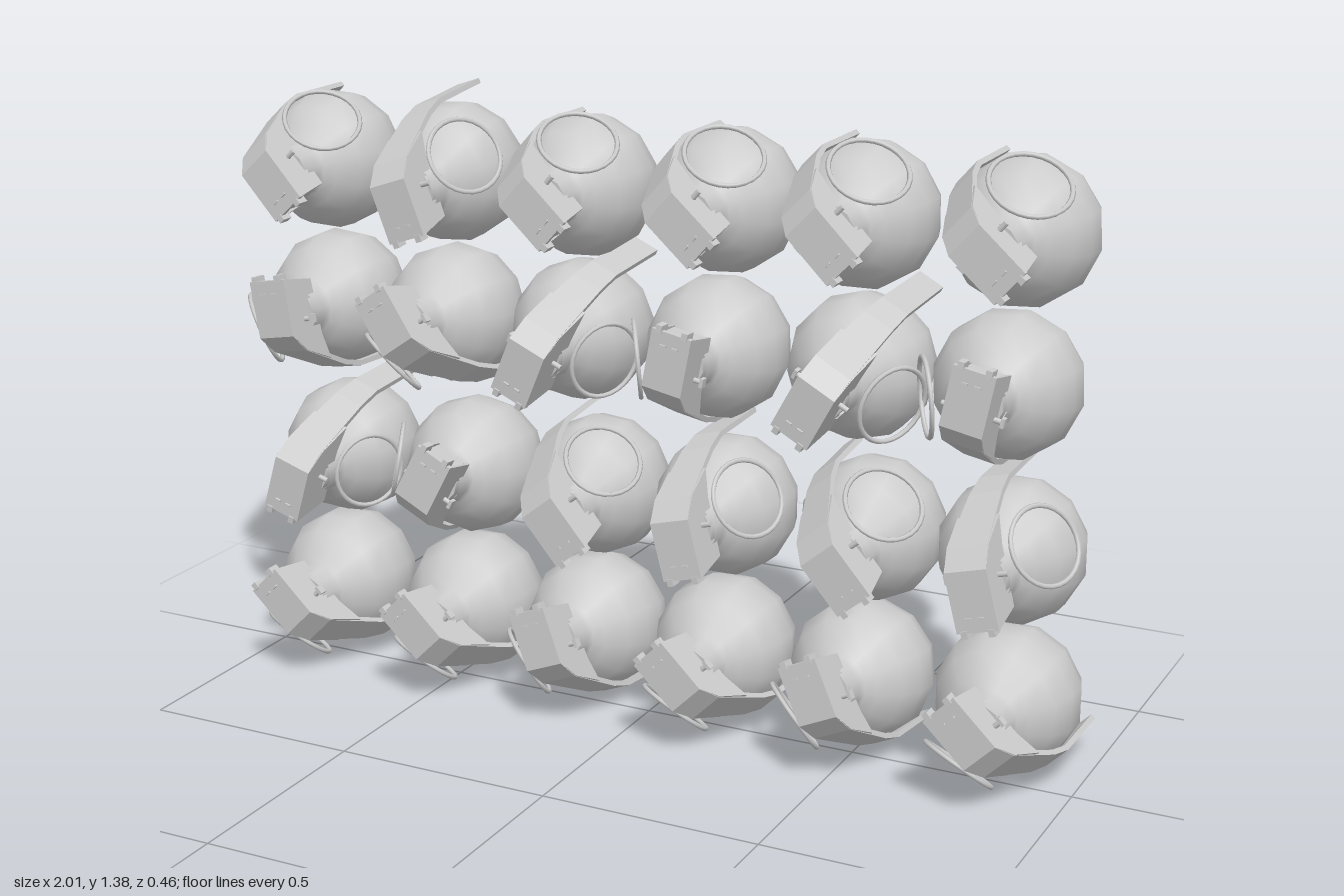
import * as THREE from 'three';

const mat = new THREE.MeshStandardMaterial({ color: 0xcccccc });
const matBoth = new THREE.MeshStandardMaterial({ color: 0xcccccc, side: THREE.DoubleSide });
const matFlat = new THREE.MeshStandardMaterial({ color: 0xcccccc, flatShading: true });

// Sphere centre of each unit: rows from the top, with [x, lever angle in degrees, tilt in degrees]
const rows = [
  { y: 1.2, units: [[-0.84, 133, 0], [-0.515, 109, 5], [-0.18, 138, 0], [0.165, 139, 0], [0.48, 136, 0], [0.825, 139, 0]] },
  { y: 0.873, units: [[-0.835, -80, 2], [-0.52, -55, 5], [-0.19, 66, 5], [0.145, -101, 2], [0.48, 61, 5], [0.805, -101, 3]] },
  { y: 0.515, units: [[-0.81, 72, 4], [-0.475, -117, 5], [-0.147, 129, 4], [0.168, 105, 1], [0.515, 130, 4], [0.83, 105, 1]] },
  { y: 0.184, units: [[-0.835, -45, 0], [-0.483, -45, 0], [-0.157, -68, 5], [0.168, -45, 0], [0.5, -65, 5], [0.835, -45, 0]] },
];

// Round body with a flared neck, turned about the z axis
function bodyGeometry() {
  const r = 0.16, pts = [];
  for (let i = 0; i <= 7; i++) {
    const a = -Math.PI / 2 + (i / 7) * Math.PI * 0.8;
    pts.push(new THREE.Vector2(Math.max(0, r * Math.cos(a)), r * Math.sin(a)));
  }
  pts.push(new THREE.Vector2(0.068, 0.14), new THREE.Vector2(0.061, 0.155), new THREE.Vector2(0.06, 0.19));
  return new THREE.LatheGeometry(pts, 12).rotateX(Math.PI / 2);
}

// Extrudes an x-z outline symmetrically across y
function extrudeXZ(points, width) {
  const shape = new THREE.Shape(points.map(([x, z]) => new THREE.Vector2(x, -z)));
  const g = new THREE.ExtrudeGeometry(shape, { depth: width, bevelEnabled: false });
  return g.translate(0, 0, -width / 2).rotateX(-Math.PI / 2).rotateX(Math.PI).scale(1, -1, 1);
}

// Ribbon of even thickness along an x-z path, with a half width per point
function ribbonGeometry(path, thick) {
  const pos = [], idx = [], n = path.length;
  path.forEach(([x, z, w], i) => {
    const a = path[Math.max(0, i - 1)], b = path[Math.min(n - 1, i + 1)];
    const dx = b[0] - a[0], dz = b[1] - a[1], l = Math.hypot(dx, dz);
    const ix = (dz / l) * thick, iz = (-dx / l) * thick; // inward offset
    pos.push(x, -w, z, x, w, z, x + ix, w, z + iz, x + ix, -w, z + iz);
    if (i < n - 1) {
      for (let k = 0; k < 4; k++) {
        const p = i * 4 + k, q = i * 4 + (k + 1) % 4;
        idx.push(p, p + 4, q, q, p + 4, q + 4);
      }
    }
  });
  const e = (n - 1) * 4;
  idx.push(0, 1, 2, 0, 2, 3, e, e + 2, e + 1, e, e + 3, e + 2);
  const g = new THREE.BufferGeometry();
  g.setAttribute('position', new THREE.Float32BufferAttribute(pos, 3));
  g.setIndex(idx);
  const flat = g.toNonIndexed();
  flat.computeVertexNormals();
  return flat;
}

function buildParts() {
  const leverPath = [
    [-0.085, 0.274, 0.046], [0.045, 0.27, 0.046], [0.085, 0.228, 0.044],
    [0.15, 0.075, 0.036], [0.166, 0.01, 0.033], [0.168, -0.18, 0.031],
  ];
  // Skirts folded down along both sides of the lever head
  const skirt = [[-0.085, 0.272], [0.045, 0.268], [0.085, 0.226], [0.12, 0.14], [0.06, 0.16], [-0.07, 0.17]];
  const skirtShape = new THREE.Shape(skirt.map(([x, z]) => new THREE.Vector2(x, z)));
  const skirtGeo = new THREE.ExtrudeGeometry(skirtShape, { depth: 0.006, bevelEnabled: false })
    .translate(0, 0, -0.003).rotateX(Math.PI / 2);
  const ringGeo = new THREE.TorusGeometry(0.084, 0.0055, 6, 28);
  return {
    body: [bodyGeometry(), matBoth],
    fuseCollar: [new THREE.CylinderGeometry(0.054, 0.054, 0.03, 12).rotateX(Math.PI / 2).translate(0, 0, 0.18), mat],
    fuseHead: [new THREE.BoxGeometry(0.12, 0.075, 0.085).translate(-0.01, 0, 0.222), mat],
    lever: [ribbonGeometry(leverPath, 0.012), matBoth],
    skirt: [skirtGeo, mat],
    pin: [new THREE.CylinderGeometry(0.006, 0.006, 0.135, 8).translate(0.015, 0, 0.215), mat],
    pinHead: [new THREE.BoxGeometry(0.02, 0.008, 0.018).translate(0.015, 0.066, 0.215), matFlat],
    hingeTab: [new THREE.BoxGeometry(0.016, 0.014, 0.03).translate(-0.088, 0, 0.262), mat],
    slotRib: [new THREE.BoxGeometry(0.004, 0.014, 0.006).translate(-0.055, 0, 0.275), mat],
    ring: [ringGeo, mat],
  };
}

export function createModel() {
  const model = new THREE.Group();
  model.name = 'stackedUnits';
  const parts = buildParts();
  const add = (group, name, part, x = 0, y = 0, z = 0) => {
    const mesh = new THREE.Mesh(part[0], part[1]);
    mesh.name = name;
    mesh.position.set(x, y, z);
    group.add(mesh);
    return mesh;
  };

  rows.forEach(({ y, units }, row) => units.forEach(([x, angle, tilt], col) => {
    const unit = new THREE.Group();
    unit.name = `unitRow${row + 1}Column${col + 1}`;
    for (const name of ['body', 'fuseCollar', 'fuseHead', 'lever', 'pin', 'pinHead']) add(unit, name, parts[name]);
    for (const s of [-1, 1]) {
      add(unit, 'leverSkirt', parts.skirt, 0, s * 0.043, 0);
      add(unit, 'hingeTab', parts.hingeTab, 0, s * 0.03, 0);
      add(unit, 'slotRib', parts.slotRib, 0, s * 0.014, 0);
    }

    // Pull ring leaning on the shoulder of the body, beside the lever
    const ringPivot = new THREE.Group();
    ringPivot.name = 'pullRing';
    ringPivot.rotation.z = THREE.MathUtils.degToRad(-72);
    const ring = add(ringPivot, 'ring', parts.ring, 0.132, 0, 0.135);
    ring.rotation.y = THREE.MathUtils.degToRad(62);
    unit.add(ringPivot);

    unit.rotation.order = 'ZYX';
    unit.rotation.y = -THREE.MathUtils.degToRad(tilt);
    unit.rotation.z = THREE.MathUtils.degToRad(angle);
    unit.position.set(x, y, -0.05);
    model.add(unit);
  }));
  return model;
}
